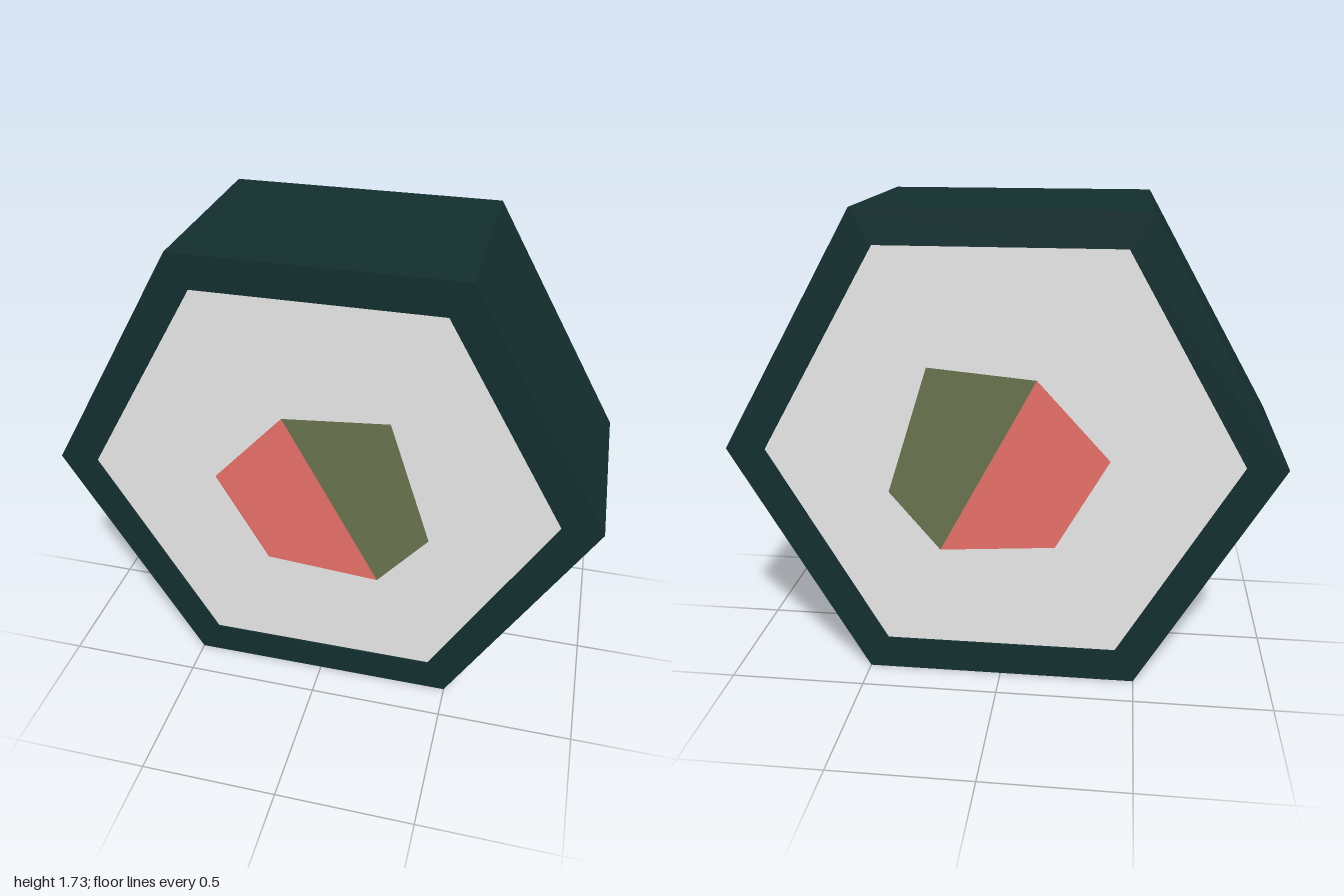
import * as THREE from 'three';

const flat = (name, color) => {
  const m = new THREE.MeshStandardMaterial({ color, flatShading: true });
  m.name = name;
  return m;
};

// Corners of a hexagon with a point on each side, centred at height cy
const cy = 0.866;
const hexagon = (r) => Array.from({ length: 6 }, (_, i) => {
  const a = (i * Math.PI) / 3;
  return new THREE.Vector2(r * Math.cos(a), cy + r * Math.sin(a));
});
const points = (list) => list.map(([x, y]) => new THREE.Vector2(x, y));

// Straight prism centred on z = 0, with an optional hole
function prism(name, outline, hole, depth, material) {
  const shape = new THREE.Shape(outline);
  if (hole) shape.holes.push(new THREE.Path(hole));
  const geometry = new THREE.ExtrudeGeometry(shape, { depth, bevelEnabled: false });
  geometry.translate(0, 0, -depth / 2);
  const mesh = new THREE.Mesh(geometry, material);
  mesh.name = name;
  return mesh;
}

export function createModel() {
  const group = new THREE.Group();
  group.name = 'sushiRoll';

  const seaweed = flat('seaweed', 0x132f2f);
  const rice = flat('rice', 0xffffff);
  const fish = flat('fish', 0xff7b75);
  const vegetable = flat('vegetable', 0x68744f);

  // The two fillings share one slanted edge
  const fishOutline = points([[-0.39, 0.87], [-0.2, 0.53], [0.22, 0.5], [-0.13, 1.155]]);
  const vegetableOutline = points([[0.22, 0.5], [0.405, 0.72], [0.255, 1.19], [-0.13, 1.155]]);
  const fillingOutline = [...fishOutline.slice(0, 3), ...vegetableOutline.slice(1)];

  // Wrapper ring, with the rice and fillings set in very slightly
  const inner = hexagon(0.857);
  group.add(
    prism('seaweedWrapper', hexagon(1), inner, 0.74, seaweed),
    prism('riceFilling', inner, fillingOutline, 0.725, rice),
    prism('fishStrip', fishOutline, null, 0.725, fish),
    prism('vegetableStrip', vegetableOutline, null, 0.725, vegetable),
  );
  return group;
}
